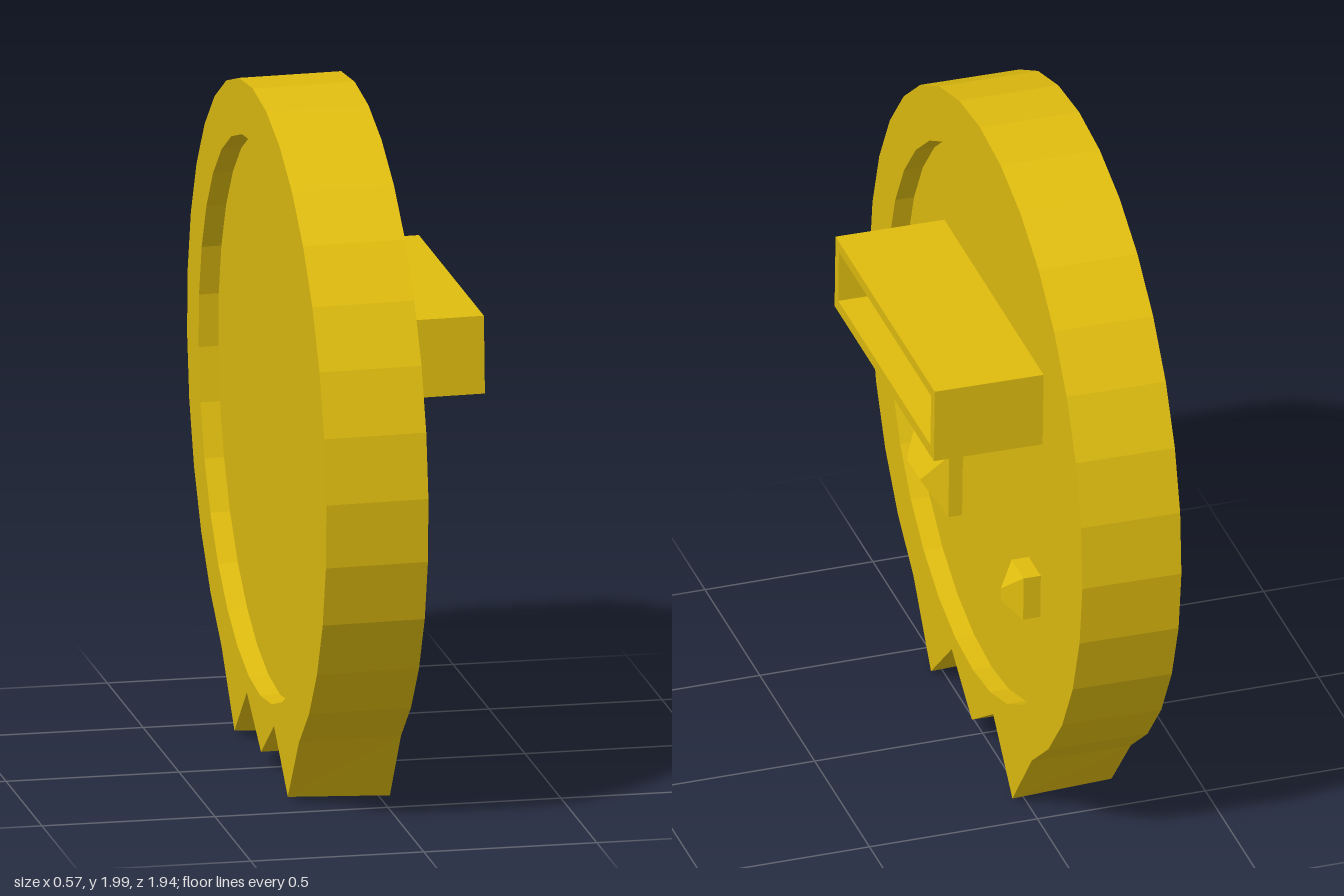
import * as THREE from 'three';
import { ConvexGeometry } from 'three/addons/geometries/ConvexGeometry.js';

const gold = new THREE.MeshStandardMaterial({ color: 0xdfbc0f, flatShading: true });
gold.name = 'gold';

const SIDES = 32, CENTRE = 1.03, FACE = 0.02, BACK = -0.275, FLOOR = -0.036;

function add(parent, name, geometry) {
  const mesh = new THREE.Mesh(geometry, gold);
  mesh.name = name;
  parent.add(mesh);
}

// Points of a 32-sided ring in (-z, y), starting at the bottom
function ring(radius) {
  return Array.from({ length: SIDES }, (_, i) => {
    const a = (i / SIDES) * Math.PI * 2;
    return new THREE.Vector2(Math.sin(a) * radius, CENTRE - Math.cos(a) * radius);
  });
}

// Extrudes an outline with a hole along x, from x0 to x1
function extrudeX(outline, hole, x0, x1) {
  const shape = new THREE.Shape(outline);
  shape.holes.push(new THREE.Path(hole));
  const g = new THREE.ExtrudeGeometry(shape, { depth: x1 - x0, bevelEnabled: false });
  return g.rotateY(Math.PI / 2).translate(x0, 0, 0);
}

function rect(z0, z1, y0, y1) {
  return [[-z1, y0], [-z0, y0], [-z0, y1], [-z1, y1]].map(p => new THREE.Vector2(...p));
}

// Block with a hipped front: straight sides to the shoulder, then slopes to a ridge
function hippedBlock([z0, z1], [y0, y1], shoulder, ridge) {
  const points = ridge.map(p => new THREE.Vector3(...p));
  for (const x of [FLOOR - 0.01, shoulder])
    for (const y of [y0, y1])
      for (const z of [z0, z1]) points.push(new THREE.Vector3(x, y, z));
  return new ConvexGeometry(points);
}

export function createModel() {
  const model = new THREE.Group();
  model.name = 'plaque';
  const body = new THREE.Group();
  body.name = 'body';

  // Rim with two teeth at the bottom
  const outline = ring(0.97);
  outline[0].y = 0.055;
  for (const s of [1, -1]) {
    outline[(SIDES + s) % SIDES].y = 0.18;
    outline[(SIDES + 2 * s) % SIDES].y = 0.005;
  }
  const rim = extrudeX(outline, ring(0.81), BACK, FACE);
  const pos = rim.attributes.position;
  for (let i = 0; i < pos.count; i++) // tooth tips rise slightly towards the back
    if (pos.getY(i) < 0.03 && pos.getX(i) < -0.1) pos.setY(i, 0.02);
  add(body, 'rim', rim);

  // Recessed panel, sunk on both faces
  const backFloor = BACK + 0.057;
  add(body, 'panel', new THREE.CylinderGeometry(0.81, 0.81, FLOOR - backFloor, SIDES)
    .rotateZ(Math.PI / 2).translate((FLOOR + backFloor) / 2, CENTRE, 0));

  // Slotted box
  const end = 0.288, slotFloor = 0.166;
  add(body, 'slotFrame', extrudeX(rect(-0.43, 0.475, 1.192, 1.42),
    rect(-0.397, 0.443, 1.227, 1.388), slotFloor, end));
  add(body, 'slotBase', new THREE.BoxGeometry(slotFloor - FLOOR + 0.01, 0.228, 0.905)
    .translate((slotFloor + FLOOR - 0.01) / 2, 1.306, 0.0225));

  // Two hipped studs
  add(body, 'largeStud', hippedBlock([0.28, 0.56], [0.56, 0.76], 0.005,
    [[0.071, 0.66, 0.34], [0.071, 0.66, 0.46]]));
  add(body, 'smallStud', hippedBlock([-0.43, -0.32], [0.625, 0.76], 0.015,
    [[0.064, 0.665, -0.375], [0.064, 0.705, -0.375]]));

  // Slight backward lean about mid height
  body.position.y = -1;
  const lean = new THREE.Group();
  lean.name = 'lean';
  lean.position.y = 1;
  lean.rotation.z = 0.0125;
  lean.add(body);
  model.add(lean);
  return model;
}
